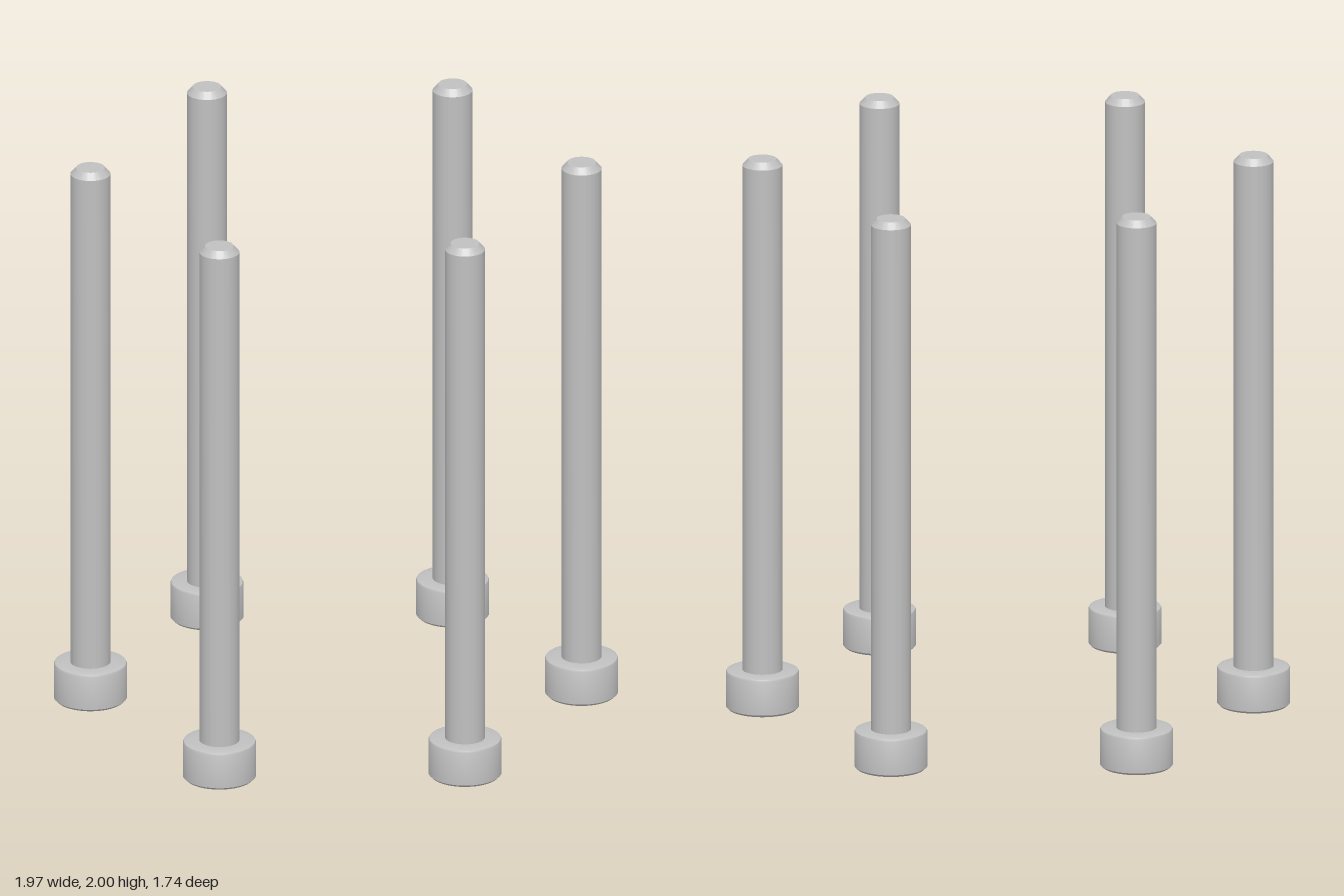
import * as THREE from 'three';
import { toCreasedNormals } from 'three/addons/utils/BufferGeometryUtils.js';

const SEGMENTS = 64;
const HEAD_R = 0.128, HEAD_H = 0.14, SHAFT_R = 0.07;
const HEX_R = 0.067, SOCKET_DEPTH = 0.062, RIM_R = 0.12;

// Turned surface with crisp edges from [radius, height] pairs
function turned(profile) {
  const points = profile.map(([r, y]) => new THREE.Vector2(r, y));
  return toCreasedNormals(new THREE.LatheGeometry(points, SEGMENTS), 0.5);
}

// Flat ring under the head, with a hexagonal opening
function ringGeometry() {
  const ring = new THREE.Shape().absarc(0, 0, RIM_R, 0, Math.PI * 2, false);
  const corners = [];
  for (let i = 0; i < 6; i++) {
    const a = Math.PI / 6 + i * Math.PI / 3;
    corners.push(new THREE.Vector2(HEX_R * Math.cos(a), HEX_R * Math.sin(a)));
  }
  ring.holes.push(new THREE.Path(corners));
  return new THREE.ShapeGeometry(ring, SEGMENTS / 2).rotateX(Math.PI / 2);
}

export function createModel() {
  const steel = new THREE.MeshStandardMaterial({ color: 0xc0c0c0, side: THREE.DoubleSide });
  steel.name = 'steel';

  const parts = {
    // Chamfered shaft, standing on the head
    shaft: turned([[SHAFT_R, HEAD_H], [SHAFT_R, 1.977], [0.05, 2], [0, 2]]),
    // Head side with eased top and bottom edges
    head: turned([
      [RIM_R, 0], [HEAD_R, 0.008], [HEAD_R, HEAD_H - 0.01],
      [HEAD_R - 0.003, HEAD_H - 0.003], [HEAD_R - 0.01, HEAD_H], [SHAFT_R, HEAD_H],
    ]),
    headFace: ringGeometry(),
    // Hexagonal drive recess
    socketWall: toCreasedNormals(
      new THREE.CylinderGeometry(HEX_R, HEX_R, SOCKET_DEPTH, 6, 1, true), 0.5
    ).translate(0, SOCKET_DEPTH / 2, 0),
    socketFloor: new THREE.CircleGeometry(HEX_R, 6, Math.PI / 6)
      .rotateX(Math.PI / 2).translate(0, SOCKET_DEPTH, 0),
  };

  // Six identical bolts around a circle
  const model = new THREE.Group();
  model.name = 'boltCircle';
  for (let i = 0; i < 6; i++) {
    const bolt = new THREE.Group();
    bolt.name = `bolt${i + 1}`;
    for (const [name, geometry] of Object.entries(parts)) {
      const mesh = new THREE.Mesh(geometry, steel);
      mesh.name = name;
      bolt.add(mesh);
    }
    const a = i * Math.PI / 3;
    bolt.position.set(0.858 * Math.cos(a), 0, 0.858 * Math.sin(a));
    model.add(bolt);
  }
  return model;
}
